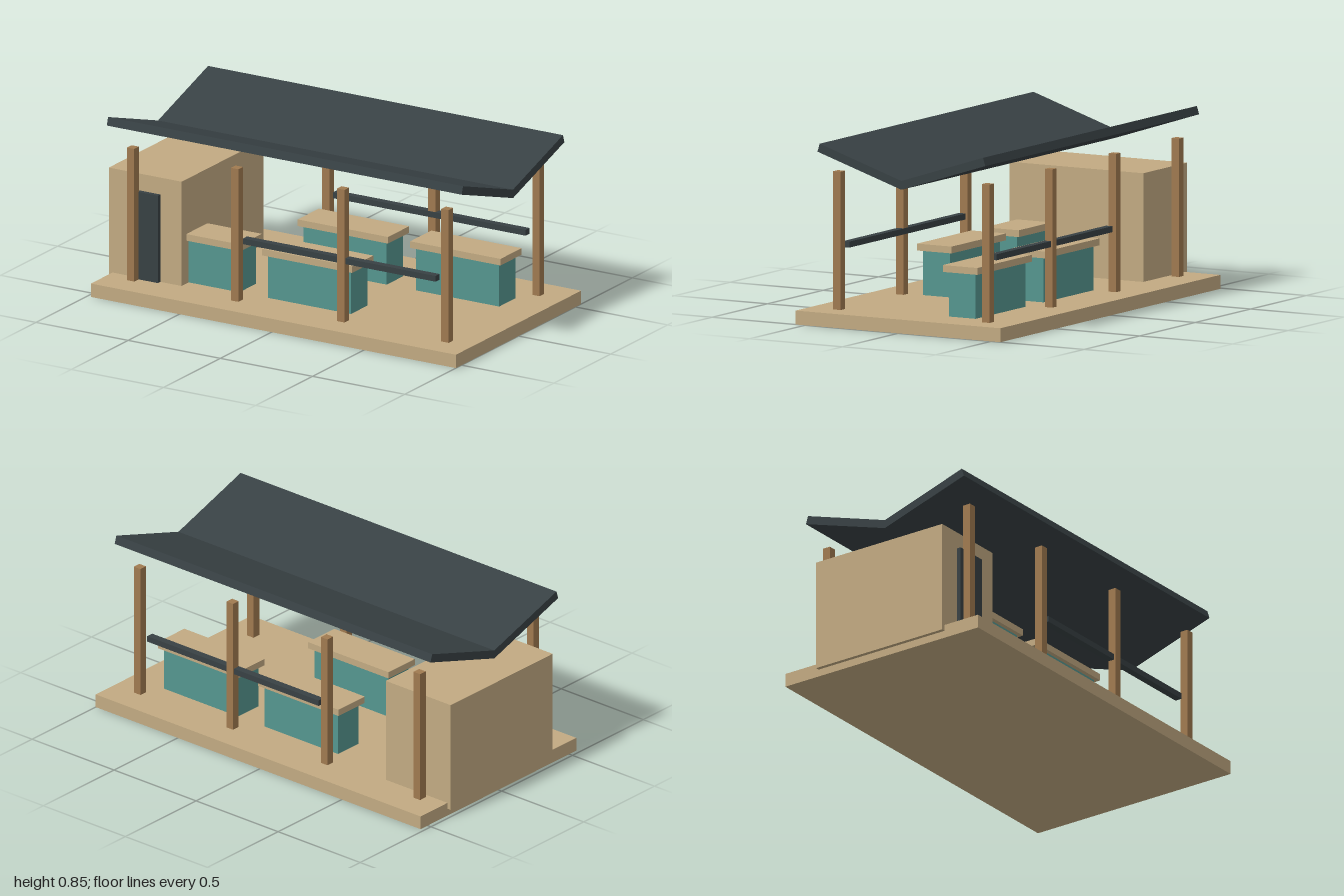
import * as THREE from 'three';

const mat = (color) => new THREE.MeshStandardMaterial({ color, flatShading: true });

export function createModel() {
  const model = new THREE.Group();
  const tan = mat(0xc2aa82), dark = mat(0x384144), teal = mat(0x55968f), wood = mat(0xa07a50);

  // Box given by its minimum and maximum on each axis
  function box(name, material, [x0, x1], [y0, y1], [z0, z1]) {
    const mesh = new THREE.Mesh(new THREE.BoxGeometry(x1 - x0, y1 - y0, z1 - z0), material);
    mesh.position.set((x0 + x1) / 2, (y0 + y1) / 2, (z0 + z1) / 2);
    mesh.name = name;
    model.add(mesh);
  }

  const floor = 0.065;
  box('platform', tan, [-0.98, 1], [0, floor], [-0.55, 0.55]);
  box('room', tan, [-1, -0.605], [0.035, 0.572], [-0.36, 0.36]);
  box('door', dark, [-0.885, -0.72], [floor, 0.49], [0.35, 0.382]);

  // Posts and rails along both long sides
  for (const side of [1, -1]) {
    for (const x of [-0.845, -0.28, 0.295, 0.86]) {
      box('post', wood, [x - 0.02, x + 0.02], [floor, 0.71], [side * 0.4 - 0.02, side * 0.4 + 0.02]);
    }
    box('rail', dark, [-0.24, 0.805], [0.347, 0.375], [side * 0.395 - 0.0175, side * 0.395 + 0.0175]);
  }

  // Counters with overhanging tops: [centre x, centre z]
  for (const [x, z] of [[-0.555, 0.226], [0.05, 0.226], [-0.035, -0.226], [0.575, -0.226]]) {
    box('counter', teal, [x - 0.225, x + 0.225], [floor, 0.275], [z - 0.072, z + 0.072]);
    box('counterTop', tan, [x - 0.245, x + 0.245], [0.274, 0.306], [z - 0.093, z + 0.093]);
  }

  // Butterfly roof: a V section extruded along x
  const section = new THREE.Shape([
    [0, 0.666], [0.451, 0.81], [0.439, 0.848], [0, 0.707], [-0.439, 0.848], [-0.451, 0.81],
  ].map(([z, y]) => new THREE.Vector2(z, y)));
  const roofLength = 1.925;
  const roof = new THREE.Mesh(
    new THREE.ExtrudeGeometry(section, { depth: roofLength, bevelEnabled: false }), dark);
  roof.rotation.y = Math.PI / 2;
  roof.position.x = -0.955;
  roof.name = 'roof';
  model.add(roof);

  return model;
}
